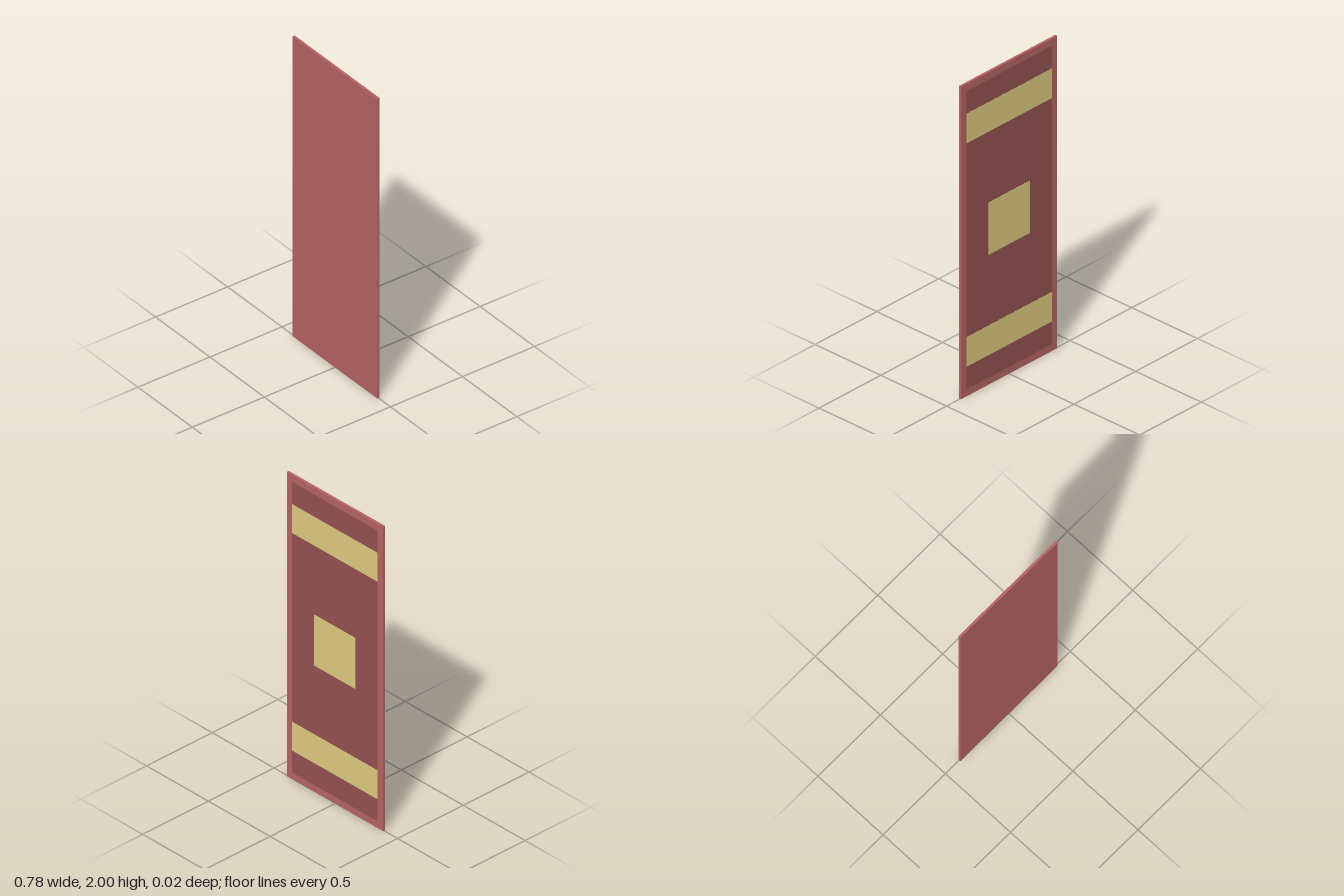
import * as THREE from 'three';

export function createModel() {
  const group = new THREE.Group();
  const red = new THREE.MeshStandardMaterial({ color: 0xb86464 });
  const darkRed = new THREE.MeshStandardMaterial({ color: 0x965252 });
  const yellow = new THREE.MeshStandardMaterial({ color: 0xe0cc80 });

  // Box given by its width, height range and depth range
  function slab(name, material, width, y0, y1, zBack, zFront) {
    const mesh = new THREE.Mesh(new THREE.BoxGeometry(width, y1 - y0, zFront - zBack), material);
    mesh.position.set(0, (y0 + y1) / 2, (zBack + zFront) / 2);
    mesh.name = name;
    group.add(mesh);
  }

  // Plain board with a smooth front
  slab('board', red, 0.78, 0, 2, -0.006, 0.009);

  // Slightly raised panel on the back, leaving a narrow border
  slab('backPanel', darkRed, 0.69, 0.045, 1.955, -0.0078, 0);

  // Bands across the panel, near its bottom and top
  slab('lowerBand', yellow, 0.69, 0.19, 0.38, -0.0083, 0);
  slab('upperBand', yellow, 0.69, 1.62, 1.81, -0.0083, 0);

  // Square plate in the middle of the back
  slab('centrePlate', yellow, 0.334, 0.833, 1.167, -0.0098, 0);

  return group;
}
